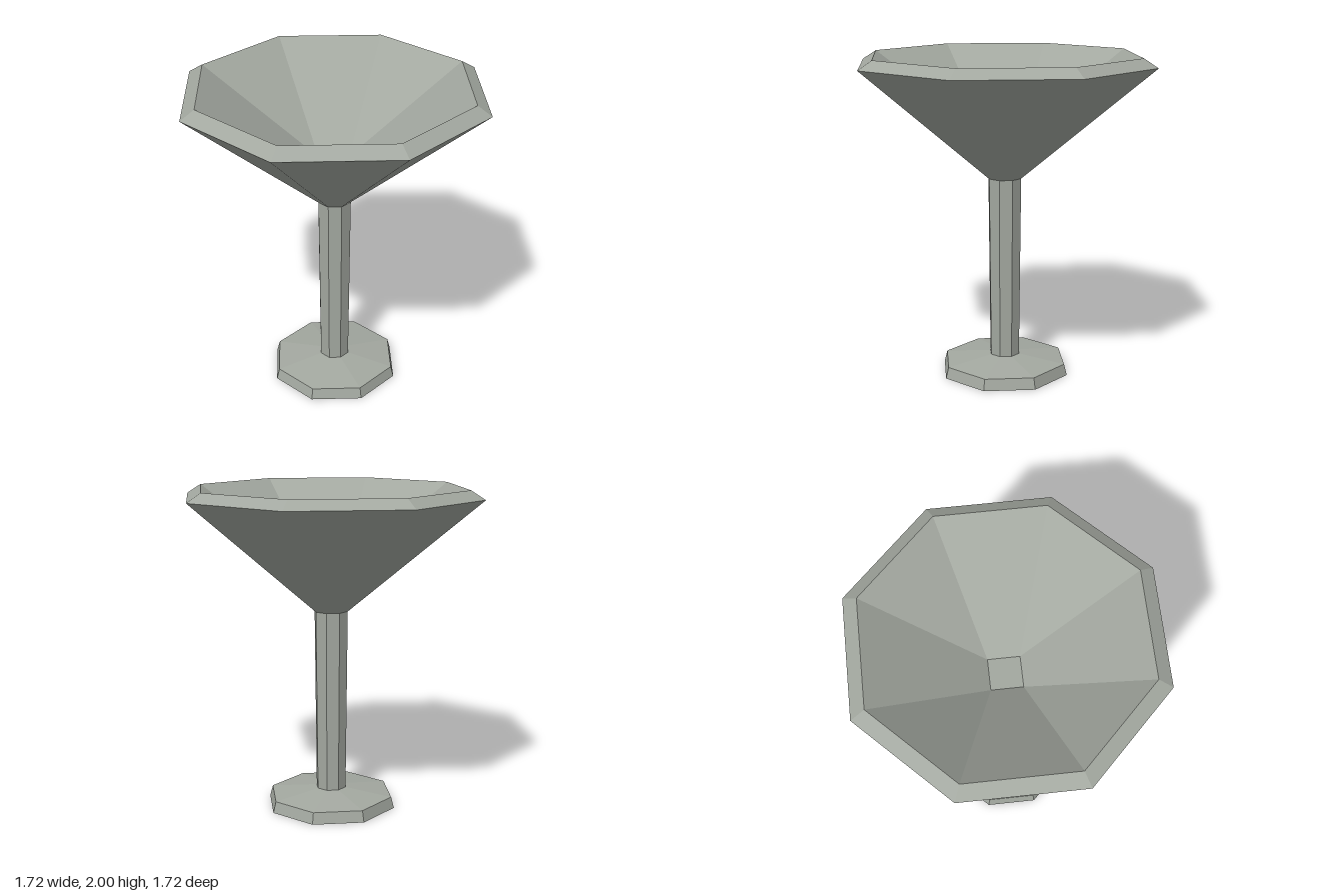
import * as THREE from 'three';

const SIDES = 8;
const STEP = Math.PI / 8; // half of one facet

export function createModel() {
  const model = new THREE.Group();
  model.name = 'cocktailGlass';
  const stone = new THREE.MeshStandardMaterial({ color: 0xa3a8a0 });
  stone.name = 'greyGlass';

  const add = (geometry, name) => {
    const flat = geometry.index ? geometry.toNonIndexed() : geometry;
    flat.computeVertexNormals();
    const mesh = new THREE.Mesh(flat, stone);
    mesh.name = name;
    model.add(mesh);
  };

  // Octagonal lathe; profile is [distance to the flat side, height], bottom to top
  const octagon = (profile) => new THREE.LatheGeometry(
    profile.map(([a, y]) => new THREE.Vector2(a / Math.cos(STEP), y)), SIDES, STEP);

  // Foot, stem and the outside of the bowl
  add(octagon([[0, 0], [0.38, 0], [0.363, 0.07], [0.088, 0.108]]), 'foot');
  add(octagon([[0.088, 0.105], [0.098, 1.245]]), 'stem');
  add(octagon([[0, 1.245], [0.098, 1.245], [0.862, 1.945]]), 'bowlOutside');

  // Bevelled rim
  add(octagon([[0.862, 1.945], [0.78, 2]]), 'rim');

  // Inside of the bowl: eight facets narrowing to a four-sided floor
  const point = (radius, angle, y) => [radius * Math.sin(angle), y, radius * Math.cos(angle)];
  const rim = (angle) => point(0.78 / Math.cos(STEP), angle, 2);
  const floor = (angle) => point(0.135, angle, 1.49);
  const corners = [];
  for (let k = 0; k < 4; k++) {
    const a = k * Math.PI / 2;
    const b = a + Math.PI / 2;
    corners.push(floor(a), rim(a - STEP), rim(a + STEP)); // triangular facet
    corners.push(floor(a), rim(a + STEP), rim(b - STEP)); // corner facet
    corners.push(floor(a), rim(b - STEP), floor(b));
    corners.push([0, 1.49, 0], floor(a), floor(b)); // floor
  }
  const inside = new THREE.BufferGeometry();
  inside.setAttribute('position', new THREE.Float32BufferAttribute(corners.flat(), 3));
  add(inside, 'bowlInside');

  return model;
}
